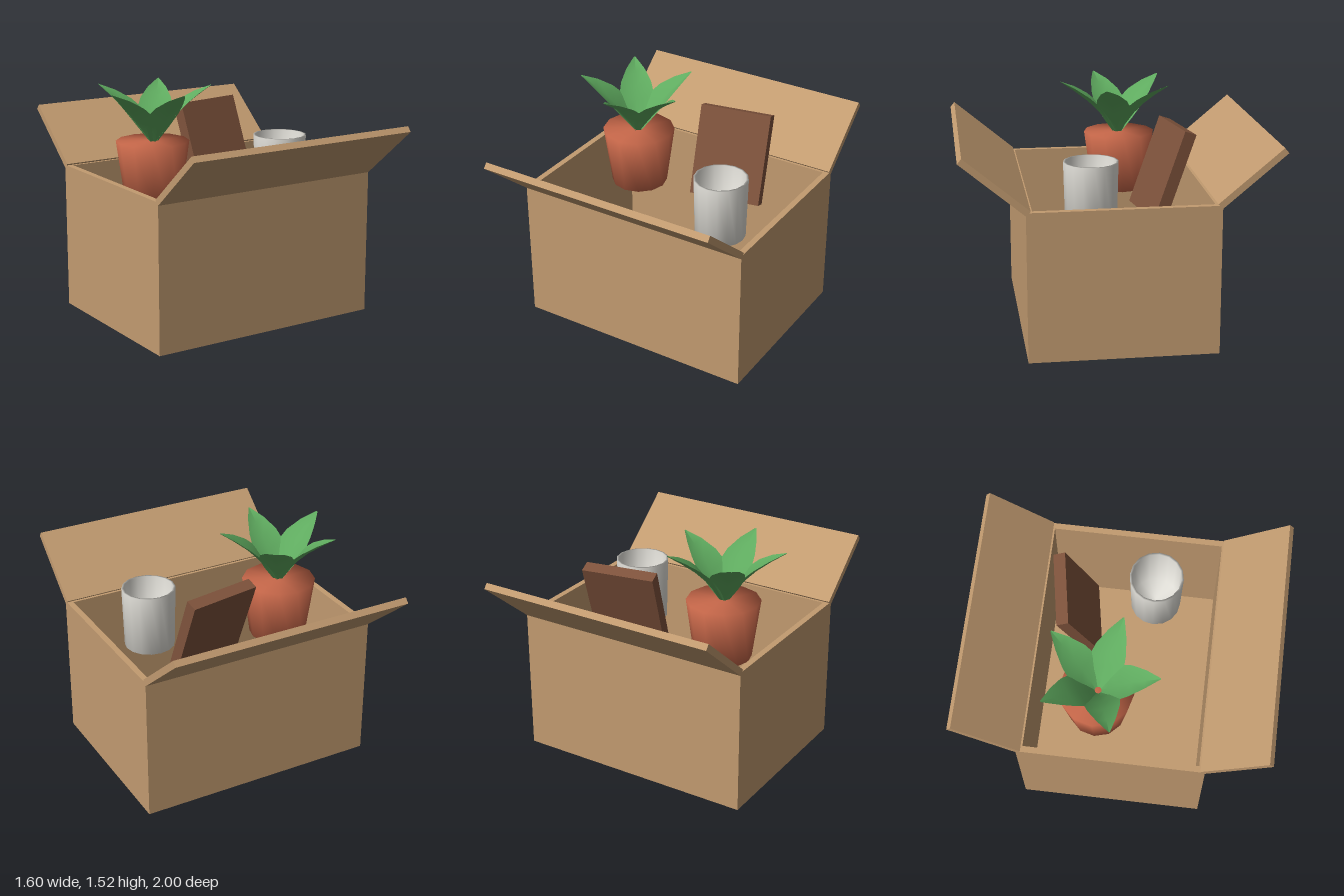
import * as THREE from 'three';

const material = (name, color, side = THREE.FrontSide) => {
  const m = new THREE.MeshStandardMaterial({ color, side });
  m.name = name;
  return m;
};

const add = (parent, name, geometry, mat) => {
  const mesh = new THREE.Mesh(geometry, mat);
  mesh.name = name;
  parent.add(mesh);
  return mesh;
};

const rectangle = (path, x, y) =>
  path.moveTo(-x, -y).lineTo(x, -y).lineTo(x, y).lineTo(-x, y).closePath();

const lathe = (points, sides) =>
  new THREE.LatheGeometry(points.map(([r, y]) => new THREE.Vector2(r, y)), sides);

// Curved leaf with a V-shaped fold, growing outward along +z
function leafGeometry() {
  const rows = [ // distance out, keel height, half width, edge lift
    [0.0, 0.0, 0.02, 0.01],
    [0.06, 0.08, 0.08, 0.04],
    [0.13, 0.17, 0.115, 0.05],
    [0.2, 0.24, 0.1, 0.04],
    [0.29, 0.31, 0.06, 0.025],
    [0.385, 0.375, 0.004, 0.003],
  ];
  const positions = [], index = [];
  rows.forEach(([z, y, w, lift], i) => {
    positions.push(-w, y + lift, z, 0, y, z, w, y + lift, z);
    if (i === rows.length - 1) return;
    for (let j = 0; j < 2; j++) {
      const a = i * 3 + j, b = a + 1, c = a + 3, d = a + 4;
      index.push(a, c, b, b, c, d);
    }
  });
  const g = new THREE.BufferGeometry();
  g.setAttribute('position', new THREE.Float32BufferAttribute(positions, 3));
  g.setIndex(index);
  g.computeVertexNormals();
  return g;
}

export function createModel() {
  const model = new THREE.Group();
  model.name = 'boxOfBelongings';

  const cardboard = material('cardboard', 0xc29b70);
  const terracotta = material('terracotta', 0xc8684a);
  const leafGreen = material('leafGreen', 0x5fab5f, THREE.DoubleSide);
  const ceramic = material('ceramic', 0xe8e6df);
  const bookBrown = material('bookBrown', 0x7f533c);

  // Open carton: hollow walls and a floor
  const outline = rectangle(new THREE.Shape(), 0.8, 0.6);
  outline.holes.push(rectangle(new THREE.Path(), 0.76, 0.56));
  const walls = new THREE.ExtrudeGeometry(outline, { depth: 0.965, bevelEnabled: false });
  add(model, 'boxWalls', walls.rotateX(-Math.PI / 2), cardboard);
  add(model, 'boxFloor', new THREE.BoxGeometry(1.52, 0.04, 1.12), cardboard).position.y = 0.02;

  // Front and back flaps, folded outward
  const tilt = THREE.MathUtils.degToRad(40);
  for (const side of [1, -1]) {
    const flap = add(model, side > 0 ? 'frontFlap' : 'backFlap',
      new THREE.BoxGeometry(1.6, 0.042, 0.525), cardboard);
    flap.position.set(0, 1.128, side * 0.785);
    flap.rotation.x = -side * tilt;
  }

  // Potted plant with five leaves
  const plant = new THREE.Group();
  plant.name = 'pottedPlant';
  plant.position.set(-0.403, 0, -0.13);
  model.add(plant);
  add(plant, 'pot', lathe([[0, 0.78], [0.185, 0.78], [0.238, 1.168], [0, 1.168]], 12), terracotta);
  const leafShape = leafGeometry();
  for (let i = 0; i < 5; i++) {
    const leaf = add(plant, 'leaf', leafShape, leafGreen);
    leaf.position.set(0, 1.138, 0.01);
    leaf.rotation.y = (i * Math.PI * 2) / 5;
  }

  // Hollow mug
  const mug = add(model, 'mug', lathe([
    [0, 0.76], [0.165, 0.76], [0.175, 1.168], [0.161, 1.168], [0.15, 0.8], [0, 0.79],
  ], 16), ceramic);
  mug.position.set(0.4, 0, 0.16);

  // Book leaning backward
  const book = add(model, 'book', new THREE.BoxGeometry(0.482, 0.6, 0.08), bookBrown);
  book.position.set(0.2, 1.049, -0.326);
  book.rotation.set(-THREE.MathUtils.degToRad(20), THREE.MathUtils.degToRad(10), 0, 'YXZ');

  return model;
}
